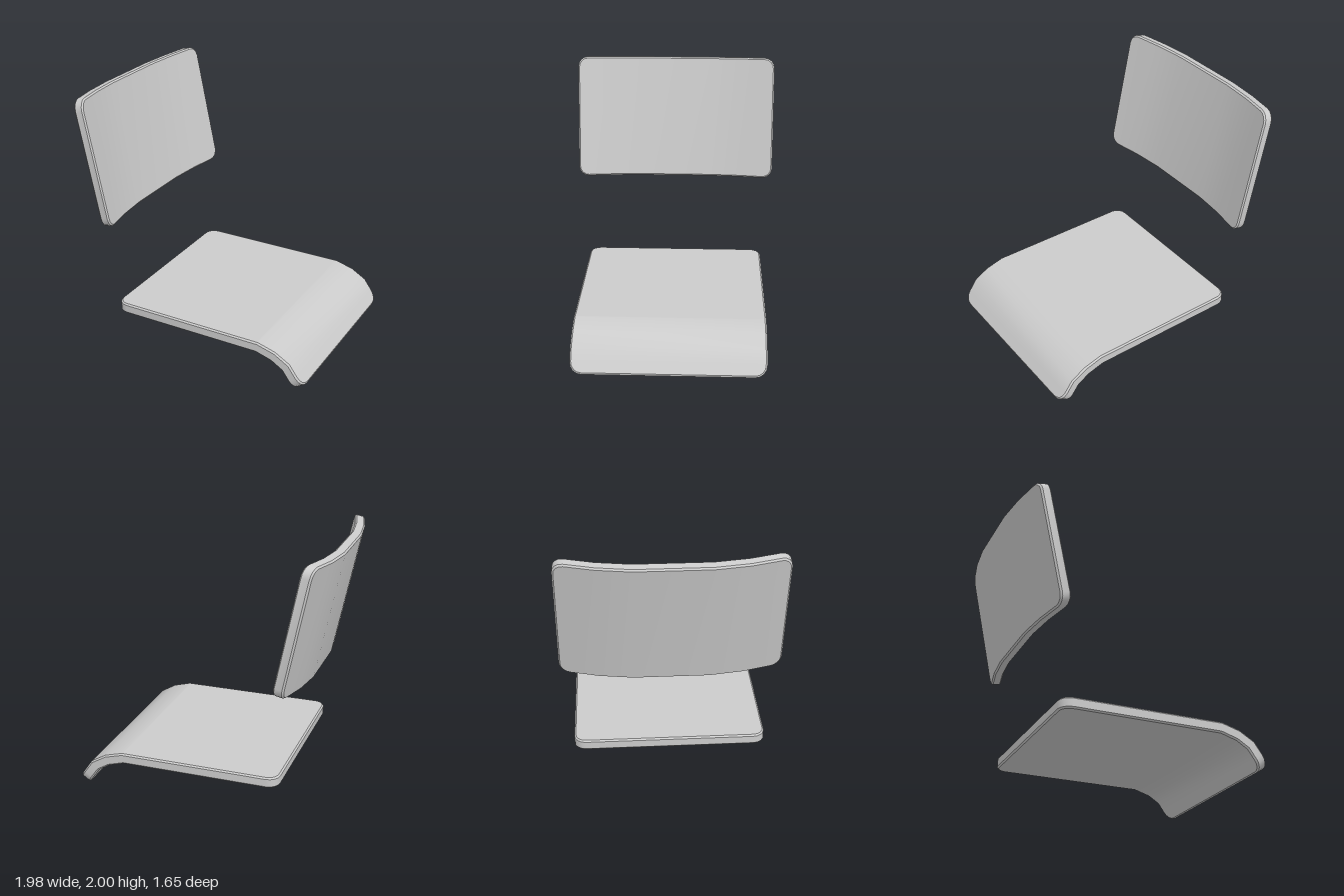
import * as THREE from 'three';
import { toCreasedNormals } from 'three/addons/utils/BufferGeometryUtils.js';

const BEVEL = 0.012;
const CORNER_STEPS = 4;

// Bent slab with rounded corners: upper and lower are matching [x, y] profiles,
// the slab spans z = -halfWidth .. halfWidth.
function bentPanel(upper, lower, halfWidth, radius) {
  const up = upper.map(([x, y]) => new THREE.Vector3(x, y, 0));
  const low = lower.map(([x, y]) => new THREE.Vector3(x, y, 0));
  const mid = up.map((p, i) => p.clone().lerp(low[i], 0.5));
  const dist = [0];
  for (let i = 1; i < mid.length; i++) dist.push(dist[i - 1] + mid[i].distanceTo(mid[i - 1]));
  const length = dist[dist.length - 1];

  // Point at distance s along the slab, t = 0 on the lower face, 1 on the upper
  const pointAt = (s, t, z) => {
    let i = 0;
    while (i < dist.length - 2 && s > dist[i + 1]) i++;
    const f = (s - dist[i]) / (dist[i + 1] - dist[i]);
    const top = up[i].clone().lerp(up[i + 1], f);
    const p = low[i].clone().lerp(low[i + 1], f).lerp(top, t);
    return [p.x, p.y, z];
  };

  // Rounded-rectangle outline, +z half forward then mirrored back
  const outline = (inset) => {
    const r = radius - inset;
    const half = [];
    const arc = (centre, from) => {
      for (let k = 0; k <= CORNER_STEPS; k++) {
        const a = from - (k / CORNER_STEPS) * Math.PI / 2;
        half.push([centre + r * Math.cos(a), halfWidth - radius + r * Math.sin(a)]);
      }
    };
    arc(radius, Math.PI);
    dist.slice(1, -1).forEach((s) => half.push([s, halfWidth - inset]));
    arc(length - radius, Math.PI / 2);
    return [...half, ...half.map(([s, w]) => [s, -w]).reverse()];
  };

  // Four rings from the upper face down to the lower face
  const b = BEVEL / up[0].distanceTo(low[0]);
  const rings = [[BEVEL, 1], [0, 1 - b], [0, b], [BEVEL, 0]];
  const positions = [];
  const index = [];
  const quad = (a, c, d, e) => index.push(a, c, d, a, d, e);
  let n = 0;
  for (const [inset, t] of rings) {
    const ring = outline(inset);
    n = ring.length;
    for (const [s, w] of ring) positions.push(...pointAt(s, t, w));
  }
  for (let k = 0; k < rings.length - 1; k++) {
    for (let i = 0; i < n; i++) {
      const j = (i + 1) % n;
      quad(k * n + i, (k + 1) * n + i, (k + 1) * n + j, k * n + j);
    }
  }
  // Faces: strips across the width
  const last = (rings.length - 1) * n;
  for (let i = 0; i < n / 2 - 1; i++) {
    quad(i, i + 1, n - 2 - i, n - 1 - i);
    quad(last + n - 1 - i, last + n - 2 - i, last + i + 1, last + i);
  }
  const geometry = new THREE.BufferGeometry();
  geometry.setAttribute('position', new THREE.Float32BufferAttribute(positions, 3));
  geometry.setIndex(index);
  return toCreasedNormals(geometry, 0.6);
}

export function createModel() {
  const group = new THREE.Group();
  const material = new THREE.MeshStandardMaterial({ color: 0xcccccc });

  // Seat: flat board with a front edge curling down
  const seat = new THREE.Mesh(bentPanel(
    [[-0.66, 0.325], [0.59, 0.325], [0.605, 0.325], [0.75, 0.285], [0.87, 0.215], [0.99, 0.047]],
    [[-0.66, 0.24], [0.575, 0.24], [0.59, 0.24], [0.72, 0.202], [0.81, 0.147], [0.915, 0]],
    0.745, 0.09), material);
  seat.name = 'seat';
  group.add(seat);

  // Backrest: board curved around the sitter, leaning back
  const curve = [[0.28, 0], [0.53, 0.03], [0.825, 0.097]];
  const rear = [...curve.map(([x, y]) => [-x, y]).reverse(), ...curve];
  const front = rear.map(([x, y]) => [x, y + 0.082]);
  const backrest = new THREE.Mesh(bentPanel(front, rear, 0.508, 0.085), material);
  backrest.name = 'backrest';
  const lean = 0.204;
  const facing = new THREE.Vector3(Math.cos(lean), Math.sin(lean), 0);
  const down = new THREE.Vector3(Math.sin(lean), -Math.cos(lean), 0);
  backrest.quaternion.setFromRotationMatrix(
    new THREE.Matrix4().makeBasis(new THREE.Vector3(0, 0, -1), facing, down));
  backrest.position.set(-0.897, 1.475, 0);
  group.add(backrest);

  return group;
}
